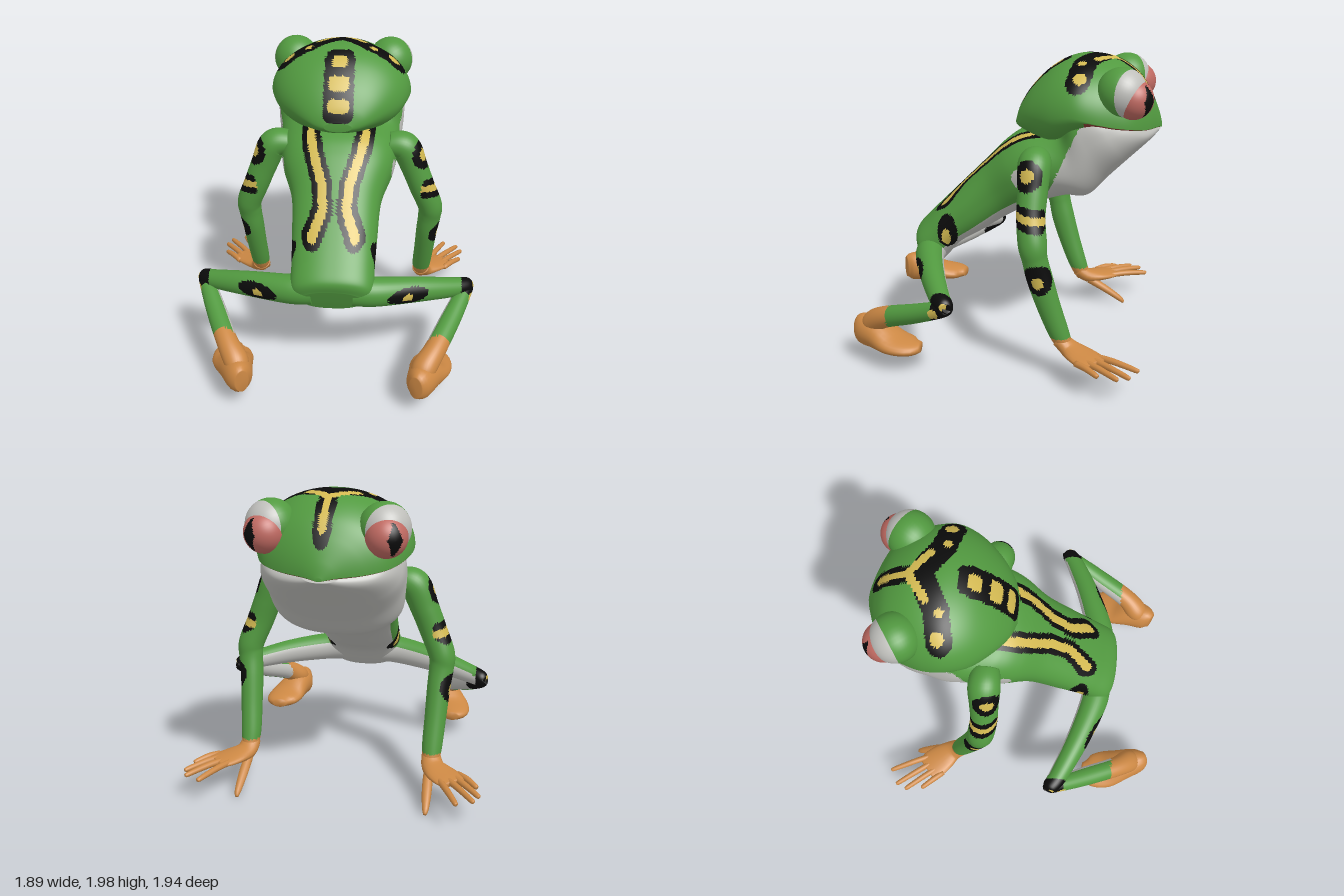
import * as THREE from 'three';

const flat = (name, color) => Object.assign(new THREE.MeshStandardMaterial({ color }), { name });
const GREEN = 0, BLACK = 1, YELLOW = 2, WHITE = 3, ORANGE = 4, RED = 5, MOUTH = 6;
const V = (x, y, z) => new THREE.Vector3(x, y, z);

// Smooth interpolation through rows of numbers, t in 0..1
function spline(rows, t) {
  const f = THREE.MathUtils.clamp(t, 0, 1) * (rows.length - 1);
  const i = Math.min(Math.floor(f), rows.length - 2), u = f - i;
  const a = rows[Math.max(i - 1, 0)], b = rows[i], c = rows[i + 1], d = rows[Math.min(i + 2, rows.length - 1)];
  return b.map((_, k) => b[k] + 0.5 * u * (c[k] - a[k] + u * (2 * a[k] - 5 * b[k] + 4 * c[k] - d[k]
    + u * (3 * (b[k] - c[k]) + d[k] - a[k]))));
}

// Distance from a 2D point to a polyline
function strokeDist(x, y, pts) {
  let best = Infinity;
  for (let i = 0; i + 1 < pts.length; i++) {
    const [ax, ay] = pts[i], dx = pts[i + 1][0] - ax, dy = pts[i + 1][1] - ay;
    const s = THREE.MathUtils.clamp(((x - ax) * dx + (y - ay) * dy) / (dx * dx + dy * dy), 0, 1);
    best = Math.min(best, Math.hypot(x - ax - s * dx, y - ay - s * dy));
  }
  return best;
}
const inOval = (x, y, cx, cy, rx, ry) => ((x - cx) / rx) ** 2 + ((y - cy) / ry) ** 2 < 1;
const near = (p, x, y, z, r) => Math.hypot(p.x - x, p.y - y, p.z - z) < r;

// Closed skin over rings; paint() picks the colour of each face from its place (mirrored to +x)
function skin(name, rows, cols, point, paint, materials, side = 1) {
  const pts = [], faces = [], mirror = V(side, 1, 1);
  for (let i = 0; i <= rows; i++)
    for (let j = 0; j < cols; j++) pts.push(point(i / rows, j / cols * Math.PI * 2).multiply(mirror));
  for (const s of [0, rows]) {
    const c = V(0, 0, 0);
    for (let j = 0; j < cols; j++) c.addScaledVector(pts[s * cols + j], 1 / cols);
    pts.push(c);
  }
  const cap = (rows + 1) * cols;
  for (let j = 0; j < cols; j++) {
    const k = (j + 1) % cols, e = rows * cols;
    for (let i = 0; i < rows; i++) {
      const a = i * cols + j, b = i * cols + k, t = (i + 0.5) / rows, ang = (j + 0.5) / cols * Math.PI * 2;
      faces.push([a, b, a + cols, t, ang], [b, b + cols, a + cols, t, ang]);
    }
    faces.push([cap, k, j, 0, 0], [cap + 1, e + j, e + k, 1, 0]);
  }
  // Turn the faces outward whatever the ring direction
  let volume = 0;
  for (const [a, b, c] of faces) volume += pts[a].dot(V(0, 0, 0).crossVectors(pts[b], pts[c]));
  const buckets = materials.map(() => []);
  for (const f of faces) {
    const [a, b, c] = volume > 0 ? f : [f[0], f[2], f[1]];
    const n = pts[b].clone().sub(pts[a]).cross(pts[c].clone().sub(pts[a]));
    if (n.length() < 1e-12) continue;
    const p = pts[a].clone().add(pts[b]).add(pts[c]).divideScalar(3);
    buckets[paint(p.multiply(mirror), n.normalize().multiply(mirror), f[3], f[4])].push(a, b, c);
  }
  const g = new THREE.BufferGeometry().setFromPoints(pts);
  g.setIndex(buckets.flat());
  let start = 0;
  buckets.forEach((b, m) => { if (b.length) g.addGroup(start, b.length, m); start += b.length; });
  g.computeVertexNormals();
  const mesh = new THREE.Mesh(g, materials);
  mesh.name = name;
  return mesh;
}

// Limb: rows of x, y, z, side radius, thickness radius
const limb = (rows, ref) => (t, a) => {
  const [x, y, z, ru, rv] = spline(rows, t);
  const T = V(...spline(rows, t + 0.01)).sub(V(...spline(rows, t - 0.01))).normalize();
  const U = V(0, 0, 0).crossVectors(ref, T).normalize(), W = V(0, 0, 0).crossVectors(T, U);
  return V(x, y, z).addScaledVector(U, ru * Math.cos(a)).addScaledVector(W, rv * Math.sin(a));
};
const ball = (c, r, d, u, v) => (t, a) => c.clone().addScaledVector(d, r * Math.cos(t * Math.PI))
  .addScaledVector(u, r * Math.sin(t * Math.PI) * Math.cos(a)).addScaledVector(v, r * Math.sin(t * Math.PI) * Math.sin(a));

// Torso and throat: back z, y, belly z, y, half width
const TORSO = [
  [.655, .71, .59, .55, .19], [.66, .79, .5, .54, .265], [.56, .90, .36, .69, .27], [.40, 1.06, .2, .79, .28],
  [.2, 1.26, 0, .92, .30], [.05, 1.41, -.2, 1.02, .37], [-.08, 1.49, -.38, 1.08, .40], [-.3, 1.55, -.52, 1.09, .42],
  [-.35, 1.73, -.65, 1.22, .44], [-.5, 1.76, -.77, 1.34, .43], [-.66, 1.70, -.9, 1.465, .34], [-.8, 1.62, -.955, 1.52, .12]];
const power = (v, e) => Math.sign(v) * Math.abs(v) ** e;
function torsoPoint(t, a) {
  const [bz, by, fz, fy, w] = spline(TORSO, t), c = power(Math.cos(a), .85);
  return V(w * power(Math.sin(a), .85), (by + fy) / 2 + c * (by - fy) / 2, (bz + fz) / 2 + c * (bz - fz) / 2);
}
const STRIPE = [[.18, 1.47], [.155, 1.40], [.09, 1.25], [.075, 1.13], [.14, .99]];
function torsoPaint(p, n, t, a) {
  const x = Math.abs(p.x), c = Math.cos(a);
  if (c > 0 && n.z > 0) {
    const d = strokeDist(x, p.y, STRIPE);
    if (d < .03) return YELLOW;
    if (d < .066) return BLACK;
  }
  if (x > .18 && inOval(p.z, p.y, .42, .78, .03, .06)) return YELLOW;
  if (x > .18 && inOval(p.z, p.y, .41, .82, .068, .12)) return BLACK;
  if (x > .3 && inOval(p.z, p.y, -.09, 1.24, .05, .06)) return WHITE;
  return c < -.5 || (p.y > 1.15 && p.z < -.33 - .45 * (p.y - 1.28)) ? WHITE : GREEN;
}

// Head: z, top, widest height, bottom, half width
const HEAD = [
  [-.025, 1.58, 1.55, 1.52, .09], [-.06, 1.68, 1.58, 1.50, .19], [-.15, 1.81, 1.62, 1.46, .31], [-.28, 1.925, 1.64, 1.42, .42],
  [-.42, 1.985, 1.66, 1.48, .475], [-.55, 1.99, 1.63, 1.57, .475], [-.68, 1.96, 1.60, 1.56, .435], [-.80, 1.88, 1.58, 1.55, .37],
  [-.88, 1.77, 1.56, 1.54, .25], [-.94, 1.64, 1.55, 1.535, .10], [-.965, 1.55, 1.535, 1.53, .02]];
function headPoint(t, a) {
  const [z, top, mid, bot, w] = spline(HEAD, t), c = Math.cos(a);
  return V(w * Math.sin(a), mid + c * (c > 0 ? top - mid : mid - bot), z);
}
const CROWN = [[0, -.60], [.2, -.48], [.36, -.45]];
function headPaint(p, n) {
  const x = Math.abs(p.x);
  if (n.y < -.6 && p.z < -.5) return MOUTH;
  if (p.z > -.45 && n.z > 0) {
    const spots = [[1.92, .05, .028], [1.81, .068, .042], [1.685, .072, .042]];
    if (spots.some(([y, rx, ry]) => (x / rx) ** 4 + ((p.y - y) / ry) ** 4 < 1)) return YELLOW;
    if (Math.hypot(Math.max(x - .05, 0), Math.max(Math.abs(p.y - 1.775) - .145, 0)) < .05) return BLACK;
  }
  if (n.y > 0 && p.y > 1.62) {
    if (strokeDist(x, p.z, [[0, -.85], [0, -.67], [.15, -.55]]) < .025) return YELLOW;
    if (inOval(x, p.z, .357, -.46, .038, .042) || inOval(x, p.z, .22, -.46, .028, .028)) return YELLOW;
    if (strokeDist(x, p.z, CROWN) < .077 || strokeDist(x, p.z, [[0, -.86], [0, -.6]]) < .055) return BLACK;
  }
  return GREEN;
}

function armPaint(p) {
  if (p.y < .29) return ORANGE;
  if (near(p, .57, 1.31, -.17, .045)) return YELLOW;
  if (near(p, .57, 1.31, -.17, .1)) return BLACK;
  const band = Math.abs(p.y - 1.06 - .15 * (p.z + .2));
  if (near(p, .66, 1.06, -.19, .125) && band < .07) return band < .024 ? YELLOW : BLACK;
  if (near(p, .705, .67, -.26, .04)) return YELLOW;
  return near(p, .70, .69, -.26, .1) ? BLACK : GREEN;
}
function thighPaint(p, n) {
  if (p.x > .845) return near(p, .93, .57, .28, .025) ? YELLOW : BLACK;
  if (n.z > -.1 && inOval(p.x, p.y, .49, .625, .032, .028)) return YELLOW;
  if (n.z > -.1 && inOval(p.x, p.y, .49, .63, .13, .06)) return BLACK;
  return -.75 * n.y - .65 * n.z > .25 ? WHITE : GREEN;
}
function shinPaint(p, n) {
  if (p.z > .7) return ORANGE;
  if (near(p, .9, .51, .35, .035)) return YELLOW;
  if (p.z < .37) return BLACK;
  return -.8 * n.x - .2 * n.y - .5 * n.z > .55 ? WHITE : GREEN;
}

const ARM = [[.34, 1.37, -.2, .08, .09], [.45, 1.35, -.2, .10, .105], [.52, 1.2, -.2, .092, .095], [.58, 1.05, -.2, .088, .09],
  [.64, .90, -.22, .085, .09], [.642, .81, -.235, .08, .08], [.63, .68, -.265, .075, .082], [.62, .5, -.32, .07, .075],
  [.61, .32, -.385, .065, .065], [.61, .22, -.43, .05, .05]];
const PALM = [[.605, .27, -.39, .06, .05], [.625, .215, -.46, .075, .05], [.68, .205, -.53, .10, .036],
  [.745, .20, -.60, .105, .026], [.78, .20, -.64, .08, .018]];
const THIGH = [[.13, .66, .54, .10, .10], [.28, .65, .53, .095, .098], [.55, .62, .44, .08, .085], [.8, .575, .33, .065, .065],
  [.885, .56, .28, .055, .055], [.915, .555, .265, .035, .035]];
const SHIN = [[.905, .56, .26, .03, .03], [.88, .54, .29, .05, .05], [.78, .45, .5, .066, .062], [.67, .36, .73, .07, .07],
  [.60, .29, .83, .08, .075], [.575, .24, .88, .06, .05]];
const FOOT = [[.545, .22, .955, .045, .08], [.57, .22, .91, .085, .108], [.61, .21, .8, .11, .1], [.65, .175, .68, .135, .062],
  [.67, .163, .57, .115, .046], [.665, .163, .5, .05, .03]];
const FINGER_TIPS = [[.81, -.90], [.91, -.85], [.94, -.78], [.92, -.66]];

export function createModel() {
  const materials = [flat('skin green', 0x529a40), flat('marking black', 0x0b0b0b), flat('marking yellow', 0xd4ba52),
    flat('belly white', 0xbfbfbb), flat('foot orange', 0xcc8844), flat('eye red', 0xc06a62), flat('mouth red', 0x8f3f36)];
  const model = new THREE.Group();
  model.name = 'treeFrog';
  const up = V(0, 1, 0), back = V(0, 0, 1), orange = () => ORANGE;

  model.add(skin('torso', 140, 128, torsoPoint, torsoPaint, materials));
  model.add(skin('head', 104, 128, headPoint, headPaint, materials));

  // Frame of the gaze direction
  const d = V(.55, -.03, -.83).normalize(), u = V(0, 0, 0).crossVectors(up, d).normalize(), v = V(0, 0, 0).crossVectors(d, u);
  const lidC = V(.335, 1.80, -.715), eyeC = V(.355, 1.765, -.785);
  const lidPaint = p => p.clone().sub(lidC).dot(d) > .05 ? WHITE : GREEN;
  const eyePaint = p => {
    const q = p.clone().sub(eyeC);
    return q.dot(d) > 0 && Math.abs(q.dot(u)) / .05 + Math.abs(q.dot(v)) / .105 < 1 ? BLACK : RED;
  };

  for (const side of [1, -1]) {
    const label = side > 0 ? 'left' : 'right';
    const add = (name, rows, cols, point, paint) => model.add(skin(label + name, rows, cols, point, paint, materials, side));
    add('Eyelid', 28, 32, ball(lidC, .155, d, u, v), lidPaint);
    add('Eye', 36, 40, ball(eyeC, .125, d, u, v), eyePaint);
    add('Arm', 100, 36, limb(ARM, back), armPaint);
    add('Palm', 16, 20, limb(PALM, up), orange);
    // Fingers fan out from the palm edge
    FINGER_TIPS.forEach(([x, z], i) => {
      const bx = .69 + .04 * i, bz = -.645 + .037 * i;
      const row = (s, y, r) => [bx + (x - bx) * s, y, bz + (z - bz) * s, r, r];
      add('Finger' + (i + 1), 10, 10, limb([row(-.15, .2, .02), row(.3, .205, .021), row(.65, .2, .019), row(.95, .192, .016), row(1, .19, .007)], up), orange);
    });
    add('Thumb', 10, 10, limb([[.60, .19, -.48, .03, .03], [.605, .12, -.6, .032, .026], [.61, .045, -.71, .022, .02],
      [.61, .015, -.74, .01, .01]], up), orange);
    add('Thigh', 70, 36, limb(THIGH, up), thighPaint);
    add('Shin', 50, 32, limb(SHIN, up), shinPaint);
    add('Foot', 20, 24, limb(FOOT, up), orange);
  }
  return model;
}
